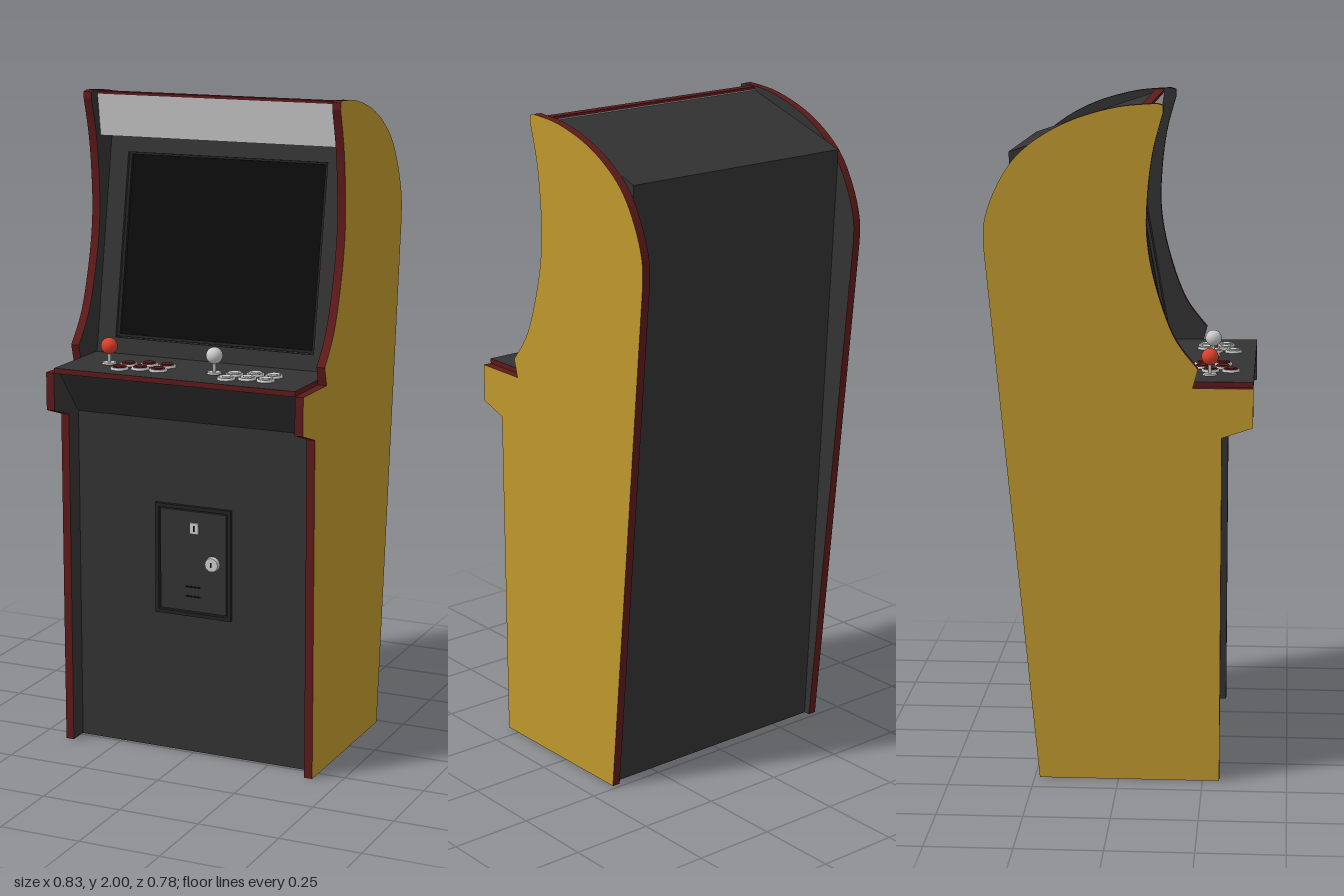
import * as THREE from 'three';

const mat = (color, extra = {}) => new THREE.MeshStandardMaterial({ color, ...extra });
const yellow = mat(0xbf982d), red = mat(0x5e1a1a), dark = mat(0x333333), black = mat(0x0b0b0b);
const grey = mat(0xcccccc), scarlet = mat(0xe0402a), trim = mat(0x222222);

function add(parent, name, geometry, material, x = 0, y = 0, z = 0) {
  const m = new THREE.Mesh(geometry, material);
  m.name = name;
  m.position.set(x, y, z);
  parent.add(m);
  return m;
}
const box = (w, h, d) => new THREE.BoxGeometry(w, h, d);
const v = (a) => a.map(([x, y]) => new THREE.Vector2(x, y));

// Extrude a (z, y) outline across x, centred on x = 0
function extrudeAcross(shape, width) {
  const g = new THREE.ExtrudeGeometry(shape, { depth: width, bevelEnabled: false, curveSegments: 5 });
  return g.rotateY(-Math.PI / 2).translate(width / 2, 0, 0);
}

// Side silhouette: straight base, control arm, curved front and rounded top
function sideShape() {
  const s = new THREE.Shape();
  s.moveTo(0.3, 0);
  for (const [z, y] of [[0.3, 1.04], [0.39, 1.07], [0.39, 1.185], [0.215, 1.185], [0.23, 1.24]]) s.lineTo(z, y);
  s.splineThru(v([[0.16, 1.335], [0.108, 1.48], [0.083, 1.61], [0.083, 1.73], [0.098, 1.86], [0.128, 1.975]]));
  s.lineTo(0.127, 1.995);
  s.lineTo(0.11, 2);
  s.splineThru(v([[0.0, 1.99], [-0.12, 1.957], [-0.22, 1.907], [-0.3, 1.84], [-0.355, 1.75], [-0.385, 1.66], [-0.387, 1.59]]));
  s.lineTo(-0.235, 0);
  s.closePath();
  return s;
}

function rect(w, h, Kind = THREE.Shape) {
  return new Kind(v([[-w / 2, -h / 2], [w / 2, -h / 2], [w / 2, h / 2], [-w / 2, h / 2]]));
}
function frame(w, h, holeW, holeH, depth) {
  const s = rect(w, h);
  s.holes.push(rect(holeW, holeH, THREE.Path));
  return new THREE.ExtrudeGeometry(s, { depth, bevelEnabled: false });
}

export function createModel() {
  const model = new THREE.Group();
  model.name = 'arcadeCabinet';

  // Side panels: coloured outside, dark inside, red edge trim
  for (const side of [1, -1]) {
    const g = extrudeAcross(sideShape(), 0.026);
    const cap = g.groups[0].count, walls = g.groups[1].count;
    g.clearGroups();
    g.addGroup(0, cap / 2, side > 0 ? 0 : 1);
    g.addGroup(cap / 2, cap / 2, side > 0 ? 1 : 0);
    g.addGroup(cap, walls, 2);
    add(model, side > 0 ? 'leftSidePanel' : 'rightSidePanel', g, [yellow, dark, red], side * 0.402);
  }

  // Cabinet body between the panels
  const body = new THREE.Shape(v([
    [0.24, 0], [0.24, 1.04], [0.36, 1.185], [0.09, 1.185], [-0.03, 1.86], [0.065, 1.86],
    [0.085, 1.985], [0.06, 1.985], [-0.315, 1.86], [-0.215, 0],
  ]));
  add(model, 'cabinetBody', extrudeAcross(body, 0.776), dark);

  // Marquee with red cap strip
  const marquee = new THREE.Shape(v([[0.05, 1.86], [0.072, 1.86], [0.09, 1.987], [0.06, 1.987]]));
  add(model, 'marquee', extrudeAcross(marquee, 0.776), grey);
  add(model, 'marqueeTrim', box(0.776, 0.008, 0.028), red, 0, 1.991, 0.077);

  // Monitor, leaning back, with a sunken screen
  const monitor = new THREE.Group();
  monitor.name = 'monitor';
  monitor.position.set(0, 1.53, 0.045);
  monitor.rotation.x = -Math.atan2(0.12, 0.675);
  model.add(monitor);
  add(monitor, 'bezel', frame(0.776, 0.69, 0.655, 0.566, 0.024), dark, 0, -0.005, -0.014);
  add(monitor, 'screenSurround', frame(0.655, 0.566, 0.636, 0.548, 0.015), trim, 0, -0.002, -0.014);
  add(monitor, 'screen', box(0.655, 0.566, 0.012), black, 0, -0.002, -0.014);

  // Control board with red edges
  add(model, 'controlBoard', box(0.778, 0.016, 0.28), [red, red, dark, dark, red, red], 0, 1.192, 0.25);

  // Two player stations
  const rim = new THREE.LatheGeometry(v([[0.027, 0], [0.027, 0.004], [0.025, 0.007], [0.021, 0.007], [0.02, 0.003]]), 24);
  const plunger = new THREE.LatheGeometry(v([[0.02, 0], [0.02, 0.009], [0.018, 0.011], [0.013, 0.011], [0.012, 0.009], [0, 0.009]]), 24);
  const rimMat = mat(0xcccccc, { side: THREE.DoubleSide });
  const spots = [[0, 0.26], [0, 0.32], [0.056, 0.235], [0.056, 0.295], [0.115, 0.235], [0.115, 0.295]];
  [[-0.27, scarlet, red], [0.077, grey, grey]].forEach(([x, ballMat, buttonMat], i) => {
    const station = new THREE.Group();
    station.name = `playerControls${i + 1}`;
    station.position.set(x, 1.2, 0);
    model.add(station);
    add(station, 'joystickWasher', new THREE.CylinderGeometry(0.02, 0.022, 0.005, 20), grey, 0, 0.0025, 0.26);
    add(station, 'joystickShaft', new THREE.CylinderGeometry(0.005, 0.005, 0.045, 12), grey, 0, 0.022, 0.26);
    add(station, 'joystickBall', new THREE.SphereGeometry(0.025, 24, 16), ballMat, 0, 0.054, 0.26);
    for (const [bx, bz] of spots) {
      add(station, 'buttonRim', rim, rimMat, bx + 0.065, 0, bz);
      add(station, 'button', plunger, buttonMat, bx + 0.065, 0, bz);
    }
  });

  // Coin door
  const door = new THREE.Group();
  door.name = 'coinDoor';
  door.position.set(0, 0.61, 0.24);
  model.add(door);
  add(door, 'doorFrame', frame(0.25, 0.345, 0.228, 0.323, 0.012), trim);
  add(door, 'doorPanel', box(0.218, 0.313, 0.016), dark);
  add(door, 'coinPlate', box(0.028, 0.034, 0.008), grey, 0.005, 0.105, 0.01);
  add(door, 'coinSlot', box(0.004, 0.018, 0.002), black, 0.005, 0.105, 0.0145);
  const lock = new THREE.CylinderGeometry(0.021, 0.024, 0.014, 24).rotateX(Math.PI / 2);
  add(door, 'lock', lock, grey, 0.065, 0, 0.013);
  add(door, 'keyhole', box(0.004, 0.016, 0.002), black, 0.065, 0, 0.0205);
  for (const y of [-0.08, -0.11]) add(door, 'returnSlot', box(0.05, 0.005, 0.002), black, 0, y, 0.0085);

  return model;
}
